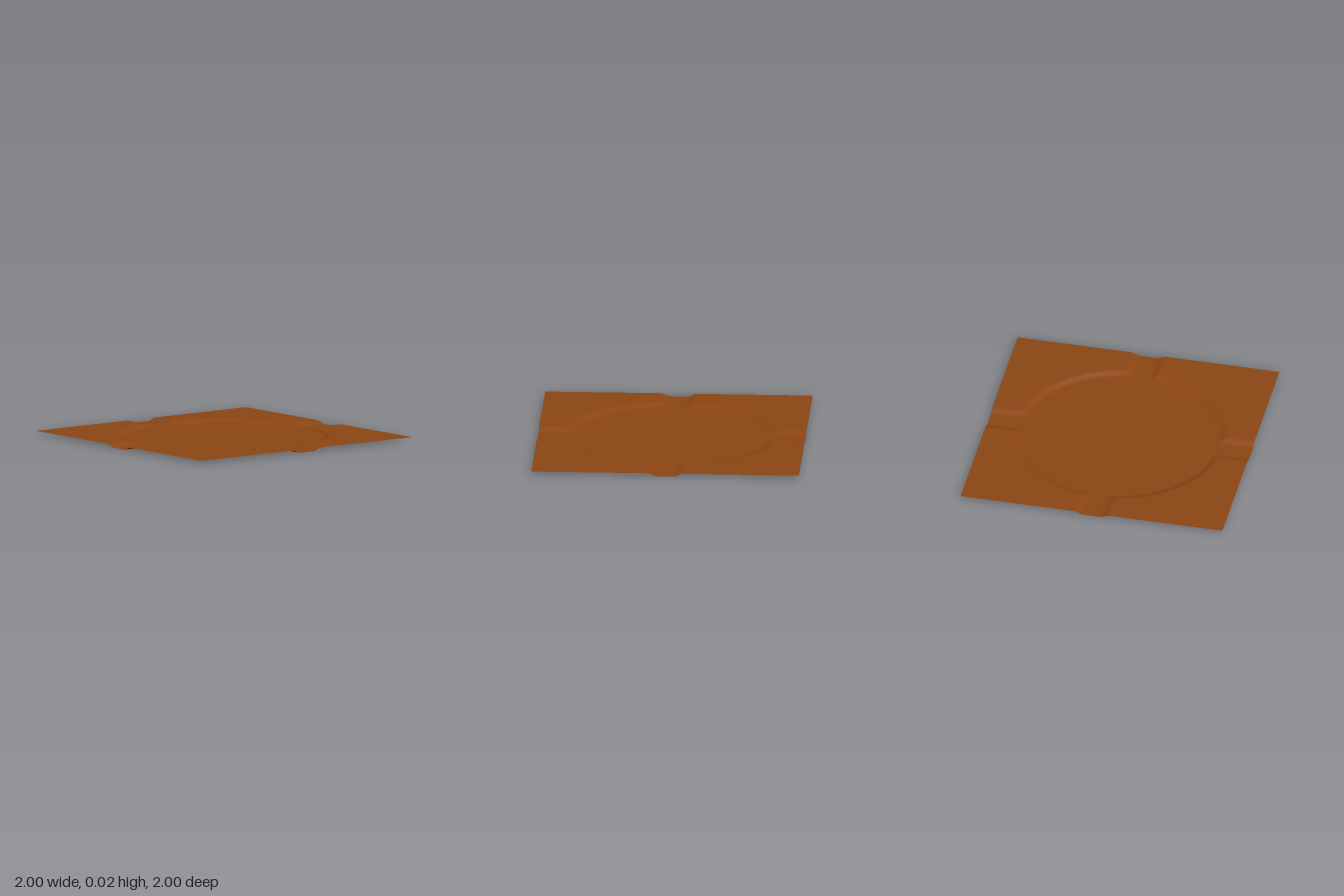
import * as THREE from 'three';

const SEGMENTS = 100;      // grid cells per side
const HEIGHT = 0.022;      // height of the raised corners
const BASIN_RADIUS = 0.765;
const CHANNEL_HALF = 0.1;
const BANK = 0.033;        // half width of the sloping banks

// Ground height: a round basin crossed by two straight channels
function groundHeight(x, z) {
  const distance = Math.min(
    Math.hypot(x, z) - BASIN_RADIUS,
    Math.abs(x) - CHANNEL_HALF,
    Math.abs(z) - CHANNEL_HALF
  );
  return HEIGHT * THREE.MathUtils.smoothstep(distance, -BANK, BANK);
}

export function createModel() {
  const model = new THREE.Group();
  model.name = 'groundTile';

  // Thin open sheet, its grid points lifted to the ground height
  const geometry = new THREE.PlaneGeometry(2, 2, SEGMENTS, SEGMENTS);
  geometry.rotateX(-Math.PI / 2);
  const position = geometry.attributes.position;
  for (let i = 0; i < position.count; i++) {
    position.setY(i, groundHeight(position.getX(i), position.getZ(i)));
  }
  geometry.computeVertexNormals();

  const ground = new THREE.Mesh(
    geometry,
    new THREE.MeshStandardMaterial({ color: 0x8b4513, side: THREE.DoubleSide })
  );
  ground.name = 'ground';
  model.add(ground);
  return model;
}
